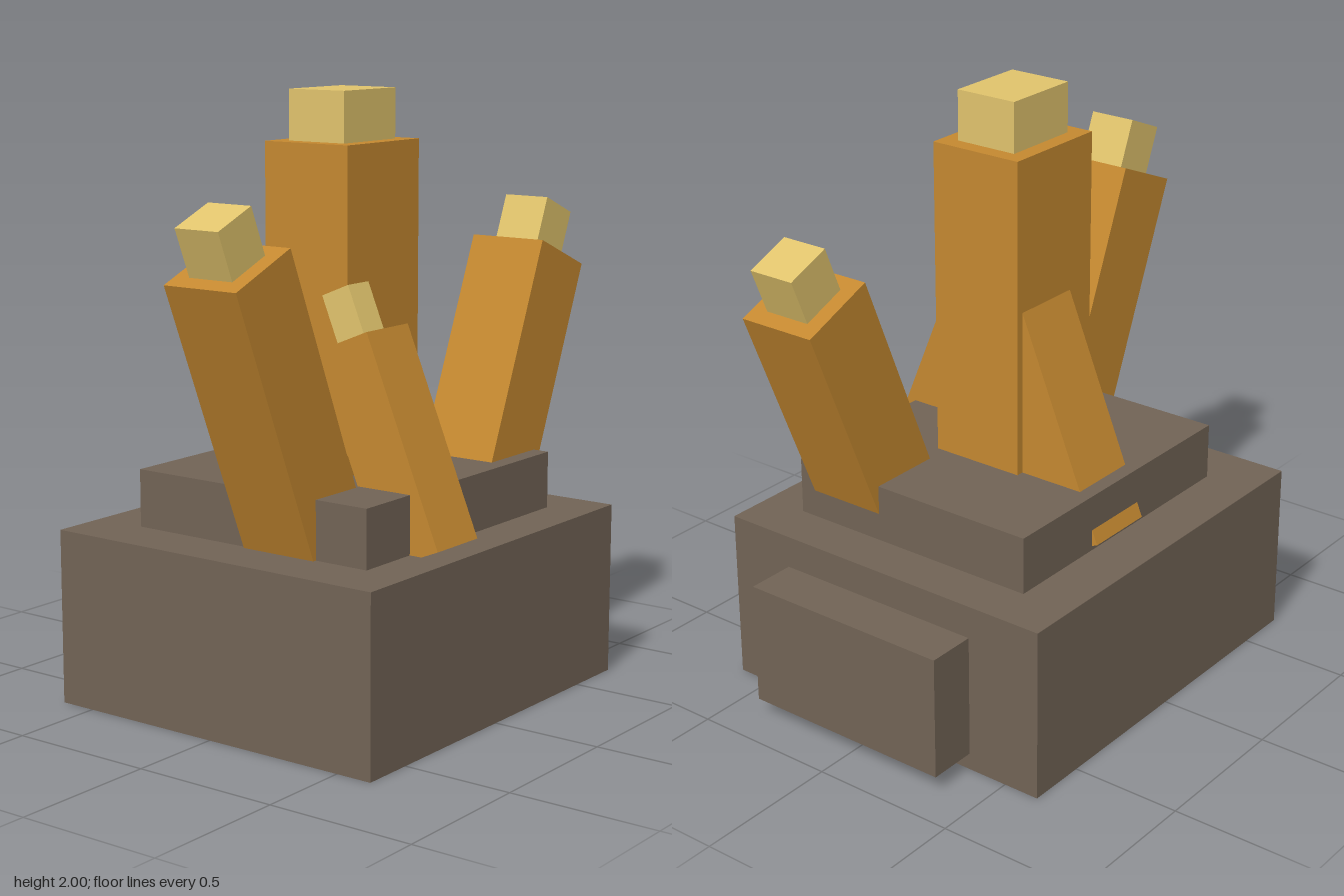
import * as THREE from 'three';

const material = (name, color) => {
  const m = new THREE.MeshStandardMaterial({ color });
  m.name = name;
  return m;
};

export function createModel() {
  const stone = material('stone', 0x716355);
  const amber = material('amber', 0xc48830);
  const paleGold = material('paleGold', 0xe0c36c);
  const model = new THREE.Group();
  model.name = 'crystalCluster';

  // Box given by its minimum and maximum corners
  const block = (parent, name, mat, [x0, y0, z0], [x1, y1, z1]) => {
    const mesh = new THREE.Mesh(new THREE.BoxGeometry(x1 - x0, y1 - y0, z1 - z0), mat);
    mesh.position.set((x0 + x1) / 2, (y0 + y1) / 2, (z0 + z1) / 2);
    mesh.name = name;
    parent.add(mesh);
  };

  // Rock base: main block, upper step and side ledge
  block(model, 'baseRock', stone, [-0.68, 0, -0.625], [0.705, 0.585, 0.625]);
  block(model, 'upperRock', stone, [-0.49, 0.585, -0.445], [0.54, 0.777, 0.47]);
  block(model, 'sideRock', stone, [0.705, 0.058, -0.36], [0.873, 0.475, 0.388]);

  // Crystal: shaft hangs below the origin, optional tip stands on it
  const crystal = (name, top, [w, length, d], tip, rx = 0, rz = 0) => {
    const group = new THREE.Group();
    group.name = name;
    group.position.set(...top);
    group.rotation.set(rx, 0, rz);
    block(group, name + 'Shaft', amber, [-w / 2, -length, -d / 2], [w / 2, 0, d / 2]);
    if (tip) {
      const [tw, th, td] = tip;
      block(group, name + 'Tip', paleGold, [-tw / 2, 0, -td / 2], [tw / 2, th, td / 2]);
    }
    model.add(group);
  };

  const lean = Math.PI / 8;
  crystal('centreCrystal', [0.013, 1.835, 0], [0.386, 1.1, 0.33], [0.276, 0.165, 0.22]);
  crystal('rightCrystal', [-0.737, 1.511, 0.138], [0.276, 1.08, 0.276], [0.165, 0.165, 0.165], 0, lean);
  crystal('leftCrystal', [0.703, 1.433, 0.275], [0.276, 1.0, 0.276], [0.165, 0.165, 0.165], 0, -lean);
  crystal('frontCrystal', [-0.154, 1.229, 0.2], [0.22, 0.715, 0.22], [0.108, 0.165, 0.11], -lean);
  crystal('backCrystal', [0.055, 1.392, -0.005], [0.25, 0.9, 0.25], null, lean);

  return model;
}
